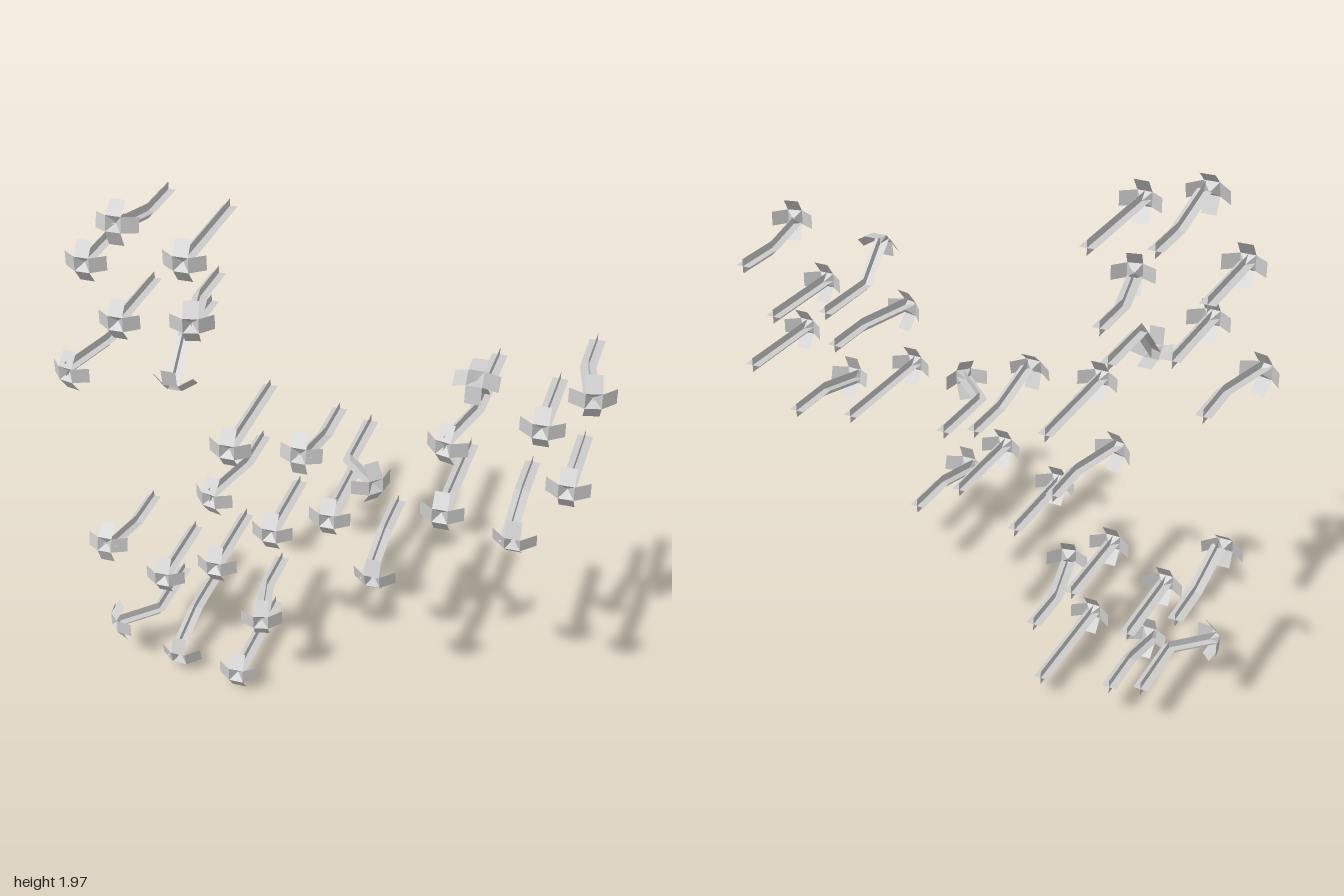
import * as THREE from 'three';

const HALF = 0.0275;   // half width of stem and flower centre
const REACH = 0.078;   // petal tip distance from the axis
const SWEEP = 0.038;   // how far petals sweep backwards
const CUP = 0.0275;    // depth of the sunken flower centre
const BACK = -0.24;    // z of every stem root
const Z = new THREE.Vector3(0, 0, 1);

const material = new THREE.MeshStandardMaterial({
  color: 0xcccccc, flatShading: true, side: THREE.DoubleSide,
});

// One cluster of seven: flower position, sideways shift of the stem beside it,
// offset of the stem root due to its lean, and z of the bend
const cluster = [
  { tip: [0, 0, 0.24] },
  { tip: [-0.41, -0.112, 0.135] },
  { tip: [-0.305, -0.33, 0.127] },
  { tip: [-0.25, 0.093, 0.2], shift: [0.02, 0], lean: [0, -0.06], bend: -0.05 },
  { tip: [0.008, -0.25, 0.2], shift: [0, -0.02], lean: [-0.06, 0], bend: -0.05 },
  { tip: [-0.48, -0.523, 0.2], shift: [0, 0.02], lean: [0.06, 0], bend: -0.05 },
  { tip: [-0.085, -0.525, 0.172], lean: [0, 0.135], bend: 0.037 },
];

// The cluster is repeated four times, each turned by a quarter
const placements = [
  { x: -0.455, y: 1.81, turn: 0 },
  { x: -0.32, y: 1.1, turn: Math.PI / 2 },
  { x: 0.45, y: 0.985, turn: Math.PI },
  { x: -0.32, y: 0.08, turn: -Math.PI / 2 },
];

function meshFrom(points, name) {
  const geometry = new THREE.BufferGeometry().setFromPoints(points);
  geometry.computeVertexNormals();
  const mesh = new THREE.Mesh(geometry, material);
  mesh.name = name;
  return mesh;
}

const quad = (a, b, c, d) => [a, b, c, a, c, d];
const around = (angle, r, z = 0) =>
  new THREE.Vector3(Math.cos(angle) * r, Math.sin(angle) * r, z);
const corner = (k) => around(Math.PI / 4 + k * Math.PI / 2, Math.SQRT2 * HALF);

// Stem of crossed blades, with a plus-shaped section swept along the path
function makeStem(path, turns) {
  const points = [];
  const last = path.length - 1;
  for (let k = 0; k < 4; k++) {
    const rows = path.map((p, i) => [
      new THREE.Vector3(0, 0, i === last ? -CUP : 0).applyQuaternion(turns[i]).add(p),
      around(k * Math.PI / 2, HALF).applyQuaternion(turns[i]).add(p),
    ]);
    for (let i = 0; i < last; i++) {
      points.push(...quad(rows[i][0], rows[i][1], rows[i + 1][1], rows[i + 1][0]));
    }
  }
  return meshFrom(points, 'stem');
}

// Sunken square centre and four petals swept backwards
function makeFlower() {
  const flower = new THREE.Group();
  flower.name = 'flower';
  const centre = [];
  for (let k = 0; k < 4; k++) {
    const a = corner(k), b = corner(k + 1);
    centre.push(a, b, new THREE.Vector3(0, 0, -CUP));
    const out = around((k + 1) * Math.PI / 2, REACH - HALF, -SWEEP);
    flower.add(meshFrom(quad(a, a.clone().add(out), b.clone().add(out), b), 'petal'));
  }
  flower.add(meshFrom(centre, 'flowerCentre'));
  return flower;
}

function makePlant({ tip, shift = [0, 0], lean = [0, 0], bend }, turn) {
  const plant = new THREE.Group();
  plant.name = 'plant';
  const at = (x, y, z) => new THREE.Vector3(x, y, z).applyAxisAngle(Z, turn);
  const ex = tip[0] + shift[0], ey = tip[1] + shift[1];
  const rx = ex + lean[0], ry = ey + lean[1];
  const end = at(ex, ey, tip[2]);
  const path = [at(rx, ry, BACK)];
  const turns = [new THREE.Quaternion()];
  const tilt = new THREE.Quaternion();
  if (bend !== undefined) {
    const knee = at(rx, ry, bend);
    tilt.setFromUnitVectors(Z, end.clone().sub(knee).normalize());
    path.push(knee);
    turns.push(new THREE.Quaternion().slerp(tilt, 0.5));
  }
  path.push(end);
  turns.push(tilt);
  const flower = makeFlower();
  flower.position.copy(at(...tip));
  flower.quaternion.copy(tilt);
  plant.add(makeStem(path, turns), flower);
  return plant;
}

export function createModel() {
  const model = new THREE.Group();
  model.name = 'flowerClusters';
  for (const { x, y, turn } of placements) {
    const group = new THREE.Group();
    group.name = 'cluster';
    group.position.set(x, y, 0);
    for (const spec of cluster) group.add(makePlant(spec, turn));
    model.add(group);
  }
  return model;
}
